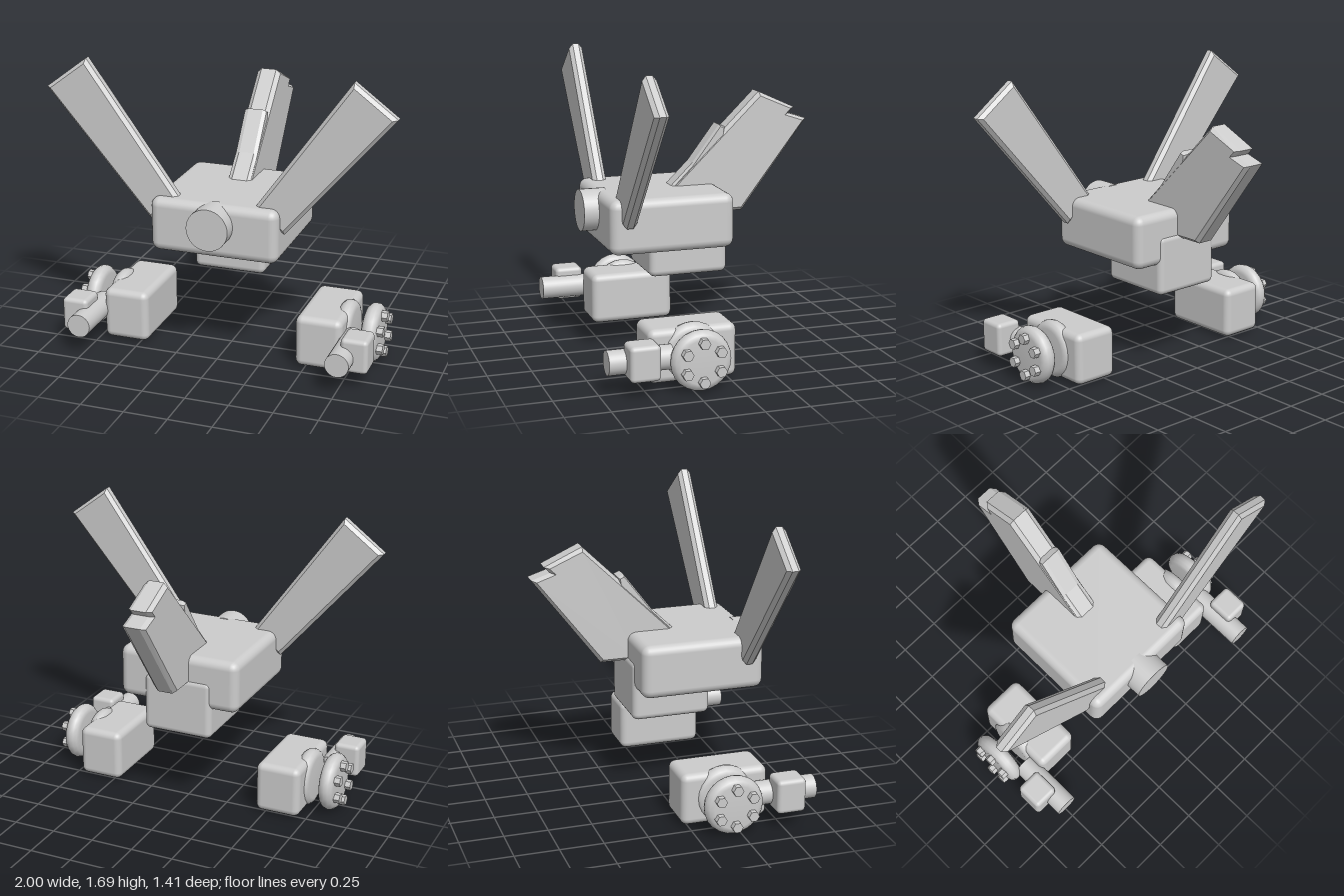
import * as THREE from 'three';
import { RoundedBoxGeometry } from 'three/addons/geometries/RoundedBoxGeometry.js';

export function createModel() {
  const model = new THREE.Group();
  const hull = new THREE.MeshStandardMaterial({ color: 0xcccccc });
  hull.name = 'hullGrey';

  const add = (name, geometry, x = 0, y = 0, z = 0, parent = model) => {
    const mesh = new THREE.Mesh(geometry, hull);
    mesh.name = name;
    mesh.position.set(x, y, z);
    parent.add(mesh);
    return mesh;
  };

  // Rounded block from its minimum and maximum corners
  const block = (name, a, b, r, parent = model) =>
    add(name, new RoundedBoxGeometry(b[0] - a[0], b[1] - a[1], b[2] - a[2], 3, r),
      (a[0] + b[0]) / 2, (a[1] + b[1]) / 2, (a[2] + b[2]) / 2, parent);

  // Bevelled plate, centred on its thickness; bevel stays inside the outline
  const plate = (points, thickness, size, depth) => {
    const shape = new THREE.Shape(points.map(([x, y]) => new THREE.Vector2(x, y)));
    const g = new THREE.ExtrudeGeometry(shape, {
      depth: thickness - 2 * depth, bevelEnabled: true, bevelSegments: 1,
      bevelSize: size, bevelThickness: depth, bevelOffset: -size,
    });
    return g.translate(0, 0, -thickness / 2 + depth);
  };

  // Cylinder lying along z
  const barrel = (name, r, x, y, z0, z1, parent = model) =>
    add(name, new THREE.CylinderGeometry(r, r, z1 - z0, 32).rotateX(Math.PI / 2),
      x, y, (z0 + z1) / 2, parent);

  // Central hull, belly and nose
  block('body', [-0.37, 0.65, -0.155], [0.37, 0.96, 0.565], 0.05);
  block('belly', [-0.21, 0.47, -0.165], [0.21, 0.82, 0.295], 0.035);
  barrel('nose', 0.12, 0, 0.845, 0.5, 0.65);

  // Tail fin and the strip along its leading edge, drawn as [-z, y]
  const tail = [[-0.13, 0.95], [0.41, 1.48], [0.63, 1.38], [0.595, 1.345],
    [0.705, 1.31], [0.31, 0.79], [0.1, 0.79]];
  add('tailFin', plate(tail, 0.14, 0.02, 0.025).rotateY(Math.PI / 2));
  const strip = [[-0.12, 0.95], [0, 1.075], [0.17, 1.3], [0.205, 1.285], [0.19, 1.2], [0.05, 0.95]];
  add('tailStrip', plate(strip, 0.13, 0.008, 0.022).rotateY(Math.PI / 2));

  // Rounded disc profile, 0.095 thick, turned to lie along x
  const discProfile = [[0, -0.047], [0.125, -0.047], [0.15, -0.038], [0.165, -0.02], [0.17, 0],
    [0.165, 0.02], [0.15, 0.038], [0.125, 0.047], [0, 0.047]].map(([r, h]) => new THREE.Vector2(r, h));
  const disc = () => new THREE.LatheGeometry(discProfile, 24).rotateZ(-Math.PI / 2);

  for (const s of [1, -1]) {
    const side = new THREE.Group();
    side.name = s > 0 ? 'leftSide' : 'rightSide';
    model.add(side);

    // Raised wing
    const wing = [[0.39, 0.81], [1, 1.52], [0.76, 1.7], [0.22, 0.95]].map(([x, y]) => [s * x, y]);
    add('wing', plate(wing, 0.08, 0.02, 0.022), 0, 0, 0.465, side);

    // Detached foot pod
    const span = (a, b) => (s > 0 ? [a, b] : [-b, -a]);
    const [p0, p1] = span(0.445, 0.715);
    block('pod', [p0, 0.02, -0.042], [p1, 0.322, 0.46], 0.04, side);

    // Inner and outer discs
    const cy = 0.178, cz = 0.21;
    add('innerDisc', disc(), s * 0.688, cy, cz, side);
    add('outerDisc', disc(), s * 0.838, cy, cz, side);

    // Six hexagonal bolts on the outer disc
    for (let i = 0; i < 6; i++) {
      const a = Math.PI / 2 + i * Math.PI / 3;
      const bolt = new THREE.CylinderGeometry(0.031, 0.031, 0.06, 6).toNonIndexed();
      bolt.computeVertexNormals();
      bolt.rotateY(Math.PI / 2).rotateZ(-Math.PI / 2);
      // turn the hexagon so a corner points up
      bolt.rotateX(Math.PI / 2);
      add('bolt', bolt, s * 0.888, cy + 0.108 * Math.sin(a), cz + 0.108 * Math.cos(a), side);
    }

    // Front block with thruster tube
    const [b0, b1] = span(0.75, 0.905);
    block('tubeBlock', [b0, 0.105, 0.447], [b1, 0.303, 0.615], 0.025, side);
    barrel('tube', 0.068, s * 0.76, 0.188, 0.35, 0.71, side);
  }

  return model;
}
